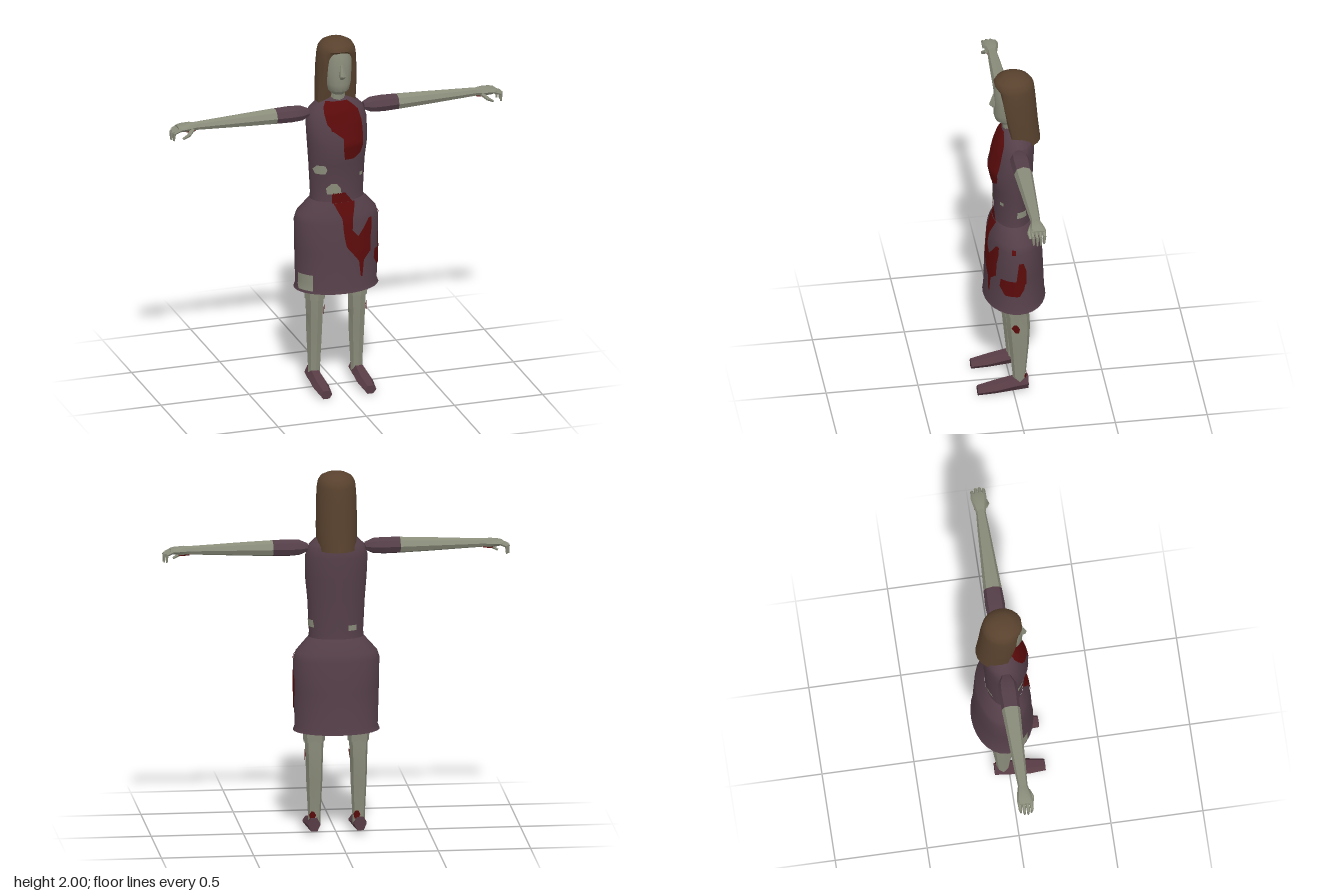
import * as THREE from 'three';
import { toCreasedNormals } from 'three/addons/utils/BufferGeometryUtils.js';

const paint = (name, color, side = THREE.DoubleSide) =>
  new THREE.MeshStandardMaterial({ name, color, side });

// Build a geometry from a flat list of points and triangle indices
function build(pos, idx, crease) {
  const g = new THREE.BufferGeometry();
  g.setAttribute('position', new THREE.Float32BufferAttribute(pos, 3));
  g.setIndex(idx);
  g.computeVertexNormals();
  return toCreasedNormals(g, crease);
}

// Loft of elliptical rings [y, half width, front z, back z, optional flat front z], rising in y
function loft(rings, n, { caps = true, phase = 0, crease = 0.6 } = {}) {
  const pos = [], idx = [];
  const k = phase ? 1 / Math.cos(Math.PI / n) : 1;
  for (const [y, rx, zf, zb, flat = Infinity] of rings) {
    for (let j = 0; j < n; j++) {
      const t = ((j + phase) / n) * Math.PI * 2;
      const z = (zf + zb) / 2 + ((zf - zb) / 2) * k * Math.cos(t);
      pos.push(rx * Math.sin(t), y, Math.min(z, flat));
    }
  }
  for (let i = 0; i < rings.length - 1; i++) {
    for (let j = 0; j < n; j++) {
      const a = i * n + j, b = i * n + ((j + 1) % n);
      idx.push(a, b, a + n, b, b + n, a + n);
    }
  }
  if (caps) {
    [0, rings.length - 1].forEach((i) => {
      const [y, , zf, zb, flat = zf] = rings[i];
      const c = pos.length / 3;
      pos.push(0, y, (Math.min(zf, flat) + zb) / 2);
      for (let j = 0; j < n; j++) {
        const a = i * n + j, b = i * n + ((j + 1) % n);
        if (i === 0) idx.push(c, b, a); else idx.push(c, a, b);
      }
    });
  }
  return build(pos, idx, crease);
}

// Interpolated ring of a profile at height y
function sample(rings, y) {
  let i = 0;
  while (i < rings.length - 2 && y > rings[i + 1][0]) i++;
  const a = rings[i], b = rings[i + 1];
  const f = THREE.MathUtils.clamp((y - a[0]) / (b[0] - a[0]), 0, 1);
  return [1, 2, 3].map((c) => a[c] + (b[c] - a[c]) * f);
}

// Stain hugging a profile; rows [y, from, to] run downward, measured in x (front, back) or z (left)
function stain(rings, face, rows) {
  const pos = [], idx = [], cols = 8, sub = 4, lift = 0.004;
  const last = (rows.length - 1) * sub;
  for (let i = 0; i <= last; i++) {
    const k = Math.min(Math.floor(i / sub), rows.length - 2), f = i / sub - k;
    const [y, p, q] = rows[k].map((v, c) => v + (rows[k + 1][c] - v) * f);
    const [rx, zf, zb] = sample(rings, y);
    const cz = (zf + zb) / 2, rz = (zf - zb) / 2;
    const angle = (v) => {
      if (face === 'left') return Math.acos(THREE.MathUtils.clamp((v - cz) / rz, -1, 1));
      const t = Math.asin(THREE.MathUtils.clamp(v / rx, -1, 1));
      return face === 'back' ? Math.PI - t : t;
    };
    const t0 = Math.min(angle(p), angle(q)), t1 = Math.max(angle(p), angle(q));
    for (let j = 0; j <= cols; j++) {
      const t = t0 + ((t1 - t0) * j) / cols;
      pos.push((rx + lift) * Math.sin(t), y, cz + (rz + lift) * Math.cos(t));
      if (i < last && j < cols) {
        const a = i * (cols + 1) + j, b = a + cols + 1;
        idx.push(a, b, a + 1, a + 1, b, b + 1);
      }
    }
  }
  return build(pos, idx, 0.6);
}

export function createModel() {
  const model = new THREE.Group();
  const skin = paint('paleSkin', 0x8b8d7b), dress = paint('plumCloth', 0x553f49);
  const hair = paint('brownHair', 0x59422e), blood = paint('darkRed', 0x5c0b0b);
  const shoe = paint('shoeLeather', 0x583c45);
  const add = (parent, name, geo, mat) => {
    const m = new THREE.Mesh(geo, mat);
    m.name = name;
    parent.add(m);
    return m;
  };

  // Bodice and skirt
  const torso = [
    [1.08, 0.15, 0.09, -0.112], [1.12, 0.147, 0.086, -0.11], [1.3, 0.156, 0.095, -0.12],
    [1.42, 0.167, 0.12, -0.124], [1.54, 0.17, 0.088, -0.13], [1.6, 0.152, 0.068, -0.126],
    [1.65, 0.1, 0.045, -0.1], [1.67, 0.06, 0.03, -0.07],
  ];
  const skirt = [
    [0.575, 0.235, 0.147, -0.19], [0.6, 0.225, 0.142, -0.184], [0.8, 0.231, 0.136, -0.176],
    [0.97, 0.234, 0.125, -0.168], [1.01, 0.222, 0.118, -0.16], [1.09, 0.15, 0.092, -0.114],
  ];
  add(model, 'bodice', loft(torso, 24), dress);
  add(model, 'skirt', loft(skirt, 28, { caps: false }), dress);

  // Blood on the dress
  const bloodStains = [
    [torso, 'front', [[1.655, -0.07, 0.04], [1.63, -0.085, 0.07], [1.6, -0.09, 0.1], [1.54, -0.08, 0.115],
      [1.5, -0.05, 0.118], [1.46, 0, 0.118], [1.4, 0, 0.115], [1.36, 0.005, 0.1], [1.335, 0.01, 0.06]]],
    [torso, 'front', [[1.56, -0.06, -0.02], [1.5, -0.06, -0.025]]],
    [torso, 'front', [[1.14, -0.055, 0.015], [1.08, -0.055, 0.06]]],
    [skirt, 'front', [[1.085, -0.05, 0.07], [1.04, -0.03, 0.06], [1, -0.01, 0.05], [0.93, -0.005, 0.045],
      [0.89, 0, 0.08], [0.84, 0.01, 0.15], [0.79, 0.05, 0.15], [0.75, 0.08, 0.11], [0.66, 0.09, 0.1]]],
    [skirt, 'front', [[0.98, 0.145, 0.165], [0.93, 0.11, 0.165], [0.87, 0.06, 0.155], [0.79, 0.1, 0.155]]],
    [skirt, 'left', [[0.91, -0.04, -0.015], [0.86, -0.055, -0.01], [0.77, -0.055, 0]]],
    [skirt, 'left', [[0.79, -0.05, 0.075], [0.74, -0.045, 0.08], [0.69, -0.02, 0.055]]],
    [skirt, 'left', [[0.995, 0, 0.02], [0.965, 0, 0.02]]],
  ];
  for (const [rings, face, rows] of bloodStains) add(model, 'bloodStain', stain(rings, face, rows), blood);

  // Tears showing skin
  const tears = [
    [torso, 'front', [[1.3, -0.13, -0.09], [1.275, -0.145, -0.08], [1.25, -0.135, -0.09]]],
    [torso, 'front', [[1.195, -0.06, -0.03], [1.17, -0.085, -0.01], [1.135, -0.08, -0.005]]],
    [skirt, 'front', [[0.68, -0.222, -0.165], [0.59, -0.222, -0.165]]],
    [torso, 'left', [[1.19, -0.065, -0.02], [1.15, -0.07, -0.015]]],
    [torso, 'left', [[1.24, 0.05, 0.065], [1.22, 0.05, 0.065]]],
    [torso, 'back', [[1.165, -0.1, -0.055], [1.135, -0.1, -0.055]]],
  ];
  for (const [rings, face, rows] of tears) add(model, 'tear', stain(rings, face, rows), skin);

  // Neck, head and nose
  add(model, 'neck', loft([[1.6, 0.05, 0.035, -0.06], [1.74, 0.045, 0.045, -0.05]], 10), skin);
  add(model, 'head', loft([
    [1.695, 0.035, 0.055, -0.03], [1.72, 0.06, 0.08, -0.05], [1.76, 0.07, 0.09, -0.06],
    [1.83, 0.078, 0.086, -0.08], [1.9, 0.079, 0.09, -0.08], [1.95, 0.07, 0.076, -0.07],
  ], 14), skin);
  add(model, 'nose', loft([
    [1.795, 0.012, 0.095, 0.07], [1.815, 0.018, 0.114, 0.07], [1.88, 0.008, 0.092, 0.07],
  ], 6), skin);

  // Long hair, flat at the front so the face stands proud
  add(model, 'hair', loft([
    [1.58, 0.108, 0.08, -0.165, -0.01], [1.7, 0.112, 0.09, -0.152, 0.02], [1.85, 0.11, 0.095, -0.14, 0.045],
    [1.925, 0.105, 0.095, -0.132, 0.06], [1.95, 0.1, 0.09, -0.127, 0.085], [1.975, 0.085, 0.075, -0.108],
    [1.992, 0.055, 0.035, -0.075], [2, 0.02, 0, -0.04],
  ], 20, { crease: 0.9 }), hair);

  // Arms point along local y, with local x downward
  const sleeve = [
    [0.155, 0.022, 0.025, -0.025], [0.2, 0.042, 0.05, -0.05], [0.26, 0.046, 0.054, -0.054], [0.345, 0.044, 0.05, -0.05],
  ];
  const forearm = [
    [0.345, 0.044, 0.05, -0.05], [0.5, 0.038, 0.042, -0.042], [0.7, 0.028, 0.032, -0.032], [0.81, 0.023, 0.025, -0.025],
  ];
  const palm = [
    [0.79, 0.022, 0.026, -0.026], [0.83, 0.026, 0.036, -0.036], [0.875, 0.021, 0.044, -0.044], [0.9, 0.013, 0.04, -0.04],
  ];
  const bone = (parent, name, a, b, r0, r1) => {
    const from = new THREE.Vector3(...a), dir = new THREE.Vector3(...b).sub(from);
    const m = add(parent, name, toCreasedNormals(new THREE.CylinderGeometry(r1, r0, dir.length(), 6), 0.6), skin);
    m.position.copy(from).addScaledVector(dir, 0.5);
    m.quaternion.setFromUnitVectors(new THREE.Vector3(0, 1, 0), dir.normalize());
  };
  for (const s of [1, -1]) {
    const arm = new THREE.Group();
    arm.name = s > 0 ? 'leftArm' : 'rightArm';
    arm.position.set(0, 1.585, -0.022);
    arm.rotation.set(0, s > 0 ? 0 : Math.PI, -Math.PI / 2);
    model.add(arm);
    add(arm, 'sleeve', loft(sleeve, 8), dress);
    add(arm, 'forearm', loft(forearm, 8), skin);
    add(arm, 'palm', loft(palm, 8), skin);
    add(arm, 'wristBlood', stain(palm, 'left', [[0.85, -0.02, 0.015], [0.82, -0.03, 0.02], [0.795, -0.012, 0.01]]), blood);
    for (let f = 0; f < 4; f++) {
      const z = (0.032 - f * 0.021) * s, reach = [0, 0.008, 0.006, -0.006][f];
      bone(arm, 'finger', [0, 0.885, z], [0.016, 0.925 + reach, z], 0.011, 0.009);
      bone(arm, 'fingertip', [0.014, 0.925 + reach, z], [0.06, 0.927 + reach, z * 0.9], 0.009, 0.005);
    }
    bone(arm, 'thumb', [0.008, 0.82, 0.025 * s], [0.035, 0.85, 0.045 * s], 0.013, 0.01);
    bone(arm, 'thumbTip', [0.033, 0.848, 0.044 * s], [0.052, 0.88, 0.04 * s], 0.01, 0.006);
  }

  // Legs and shoes
  const shin = [
    [0.05, 0.034, 0.002, -0.068], [0.1, 0.034, 0.002, -0.068], [0.3, 0.044, 0.022, -0.086],
    [0.42, 0.047, 0.034, -0.092], [0.53, 0.052, 0.04, -0.086],
  ];
  const thigh = [[0.51, 0.058, 0.044, -0.086], [0.6, 0.062, 0.047, -0.088], [0.95, 0.075, 0.06, -0.1]];
  const sole = [
    [-0.08, 0.034, -0.022, -0.095], [0, 0.04, -0.016, -0.09], [0.1, 0.045, -0.008, -0.066], [0.195, 0.033, 0, -0.045],
  ];
  for (const s of [1, -1]) {
    const leg = new THREE.Group();
    leg.name = s > 0 ? 'leftLeg' : 'rightLeg';
    leg.position.x = 0.12 * s;
    model.add(leg);
    add(leg, 'shin', loft(shin, 8), skin);
    add(leg, 'thigh', loft(thigh, 8), skin);
    add(leg, 'shoe', loft(sole, 6, { phase: 0.5 }).rotateX(Math.PI / 2), shoe).position.x = 0.005 * s;
    add(leg, 'kneeBlood', stain(shin, 'left', [[0.46, -0.015, 0], [0.435, -0.03, 0.012], [0.405, -0.025, -0.01]]), blood);
    add(leg, 'ankleBlood', stain(shin, 'back', [[0.13, 0.005, 0.018], [0.11, -0.005, 0.028], [0.085, 0.005, 0.022]]), blood);
  }
  return model;
}
